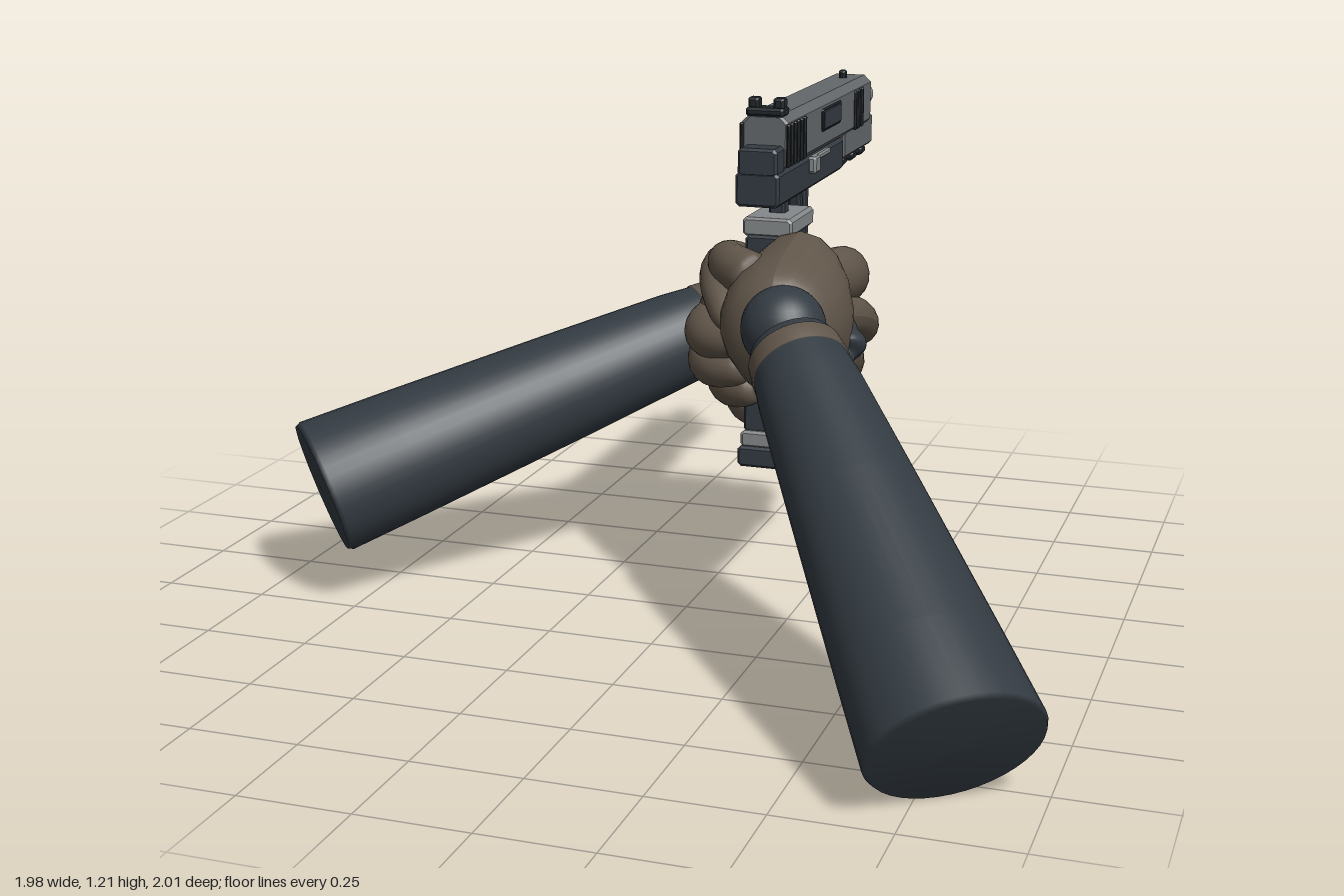
import * as THREE from 'three';

const material = (name, color) => {
  const m = new THREE.MeshStandardMaterial({ color });
  m.name = name;
  return m;
};
const V = (a) => new THREE.Vector3(...a);

export function createModel() {
  const model = new THREE.Group();
  const slate = material('slate sleeve', 0x333b42);
  const brown = material('brown glove', 0x605549);
  const steel = material('grey steel', 0x64686b);
  const frame = material('dark frame', 0x333a42);
  const black = material('near black', 0x22272b);
  const bright = material('light steel', 0x85888a);

  const add = (parent, name, geo, mat) => {
    const mesh = new THREE.Mesh(geo, mat);
    mesh.name = name;
    parent.add(mesh);
    return mesh;
  };

  // Block with chamfered long edges, given by y and z ranges, centred on x
  const block = (parent, name, mat, x, w, y0, y1, z0, z1, c = 0.008) => {
    const a = w / 2, h = (y1 - y0) / 2;
    const s = new THREE.Shape([
      [-a + c, -h], [a - c, -h], [a, -h + c], [a, h - c],
      [a - c, h], [-a + c, h], [-a, h - c], [-a, -h + c],
    ].map((p) => new THREE.Vector2(...p)));
    const depth = Math.abs(z1 - z0);
    const bevel = Math.min(0.006, depth / 4);
    const g = new THREE.ExtrudeGeometry(s, {
      depth: depth - 2 * bevel, bevelEnabled: true, bevelThickness: bevel,
      bevelSize: bevel, bevelOffset: -bevel, bevelSegments: 1,
    });
    g.translate(x, (y0 + y1) / 2, Math.min(z0, z1) + bevel);
    return add(parent, name, g, mat);
  };

  // Smooth tapered limb: rings [x, y, z, radiusX, radiusY] along a curve
  const limb = (parent, name, mat, rings, cap = 0.12) => {
    const path = new THREE.CatmullRomCurve3(rings.map((r) => V(r.slice(0, 3))));
    const size = new THREE.CatmullRomCurve3(rings.map((r) => new THREE.Vector3(r[3], r[4] ?? r[3], 0)));
    const segs = 28, sides = 18;
    const g = new THREE.TubeGeometry(path, segs, 1, sides);
    const p = g.attributes.position;
    for (let i = 0; i <= segs; i++) {
      const u = i / segs, c = path.getPointAt(u);
      const r = size.getPoint(path.getUtoTmapping(u));
      const k = Math.min(1, Math.min(u, 1 - u) / cap);
      const round = Math.sqrt(1 - (1 - k) ** 2);
      for (let j = 0; j <= sides; j++) {
        const n = i * (sides + 1) + j;
        p.setXYZ(n,
          c.x + (p.getX(n) - c.x) * r.x * round,
          c.y + (p.getY(n) - c.y) * r.y * round,
          c.z + (p.getZ(n) - c.z) * r.x * round);
      }
    }
    g.computeVertexNormals();
    return add(parent, name, g, mat);
  };

  // Sleeve that widens sideways to the elbow, with glove band and round wrist
  const arm = (name, band, end, wrist, bandStart, bandSweep) => {
    const g = new THREE.Group();
    g.name = name;
    model.add(g);
    const axis = V(end).sub(V(band));
    const L = axis.length();
    axis.normalize();
    const side = new THREE.Vector3(0, 1, 0).cross(axis).normalize();
    const basis = new THREE.Matrix4().makeBasis(side, axis, side.clone().cross(axis));
    const lathe = (part, mat, pts, start, sweep) => {
      const geo = new THREE.LatheGeometry(pts.map((p) => new THREE.Vector2(...p)), 40, start, sweep);
      const p = geo.attributes.position;
      for (let i = 0; i < p.count; i++) p.setX(i, p.getX(i) * (1 + 0.16 * Math.max(0, p.getY(i) / L)));
      const m = add(g, part, geo, mat);
      m.position.set(...band);
      m.quaternion.setFromRotationMatrix(basis);
    };
    lathe('sleeve', slate, [[0, -0.06], [0.08, -0.06], [0.098, -0.045], [0.106, 0],
      [0.117, 0.1], [0.135, L * 0.4], [0.155, L * 0.8], [0.163, L - 0.012], [0.157, L], [0, L + 0.003]],
      0, Math.PI * 2);
    lathe('gloveBand', brown, [[0.1, -0.024], [0.107, -0.024], [0.112, 0.024], [0.105, 0.024]], bandStart, bandSweep);
    const ball = add(g, 'wrist', new THREE.SphereGeometry(0.096, 32, 20), slate);
    ball.position.set(...wrist);
  };
  arm('leftArm', [0.32, 0.675, 0.18], [0.84, 0.14, 0.885], [0.265, 0.735, 0.11], 0, Math.PI * 2);
  arm('rightArm', [-0.08, 0.59, -0.455], [-0.87, 0.265, 0.165], [0.025, 0.63, -0.53], 2.5, 4.1);

  // Near hand: palm on the +x side, fingers reaching forward and curling inward
  const near = new THREE.Group();
  near.name = 'leftHand';
  model.add(near);
  limb(near, 'palm', brown, [
    [0.24, 0.72, 0.14, 0.09, 0.1], [0.23, 0.72, 0.02, 0.14, 0.155], [0.23, 0.695, -0.12, 0.136, 0.213],
    [0.21, 0.665, -0.29, 0.085, 0.165], [0.22, 0.69, -0.47, 0.08, 0.1]], 0.1);
  limb(near, 'indexFinger', brown, [
    [0.23, 0.76, -0.2, 0.05, 0.06], [0.265, 0.755, -0.38, 0.06, 0.07],
    [0.23, 0.72, -0.52, 0.06, 0.065], [0.15, 0.7, -0.57, 0.05]]);
  [
    [[0.24, 0.7, -0.18], [0.285, 0.65, -0.4], [0.255, 0.575, -0.59], [0.155, 0.54, -0.67]],
    [[0.24, 0.62, -0.15], [0.28, 0.57, -0.33], [0.23, 0.49, -0.5], [0.11, 0.455, -0.575]],
    [[0.24, 0.56, -0.13], [0.25, 0.515, -0.25], [0.2, 0.45, -0.37], [0.1, 0.425, -0.42]],
  ].forEach((pts) => limb(near, 'finger', brown,
    pts.map((p, i) => [...p, [0.05, 0.052, 0.046, 0.03][i]])));
  limb(near, 'thumb', brown, [
    [0.18, 0.81, 0.0, 0.06], [0.08, 0.83, -0.08, 0.05], [0.05, 0.81, -0.22, 0.045], [0.07, 0.78, -0.32, 0.03]]);
  // Dark crescent pad on the back of the hand
  limb(near, 'handPad', slate, [
    [0.34, 0.603, -0.045, 0.018], [0.343, 0.632, -0.1, 0.034],
    [0.34, 0.682, -0.128, 0.034], [0.335, 0.73, -0.14, 0.022]], 0.3);

  // Far hand: palm on the -x side, fingers curled back around the grip
  const far = new THREE.Group();
  far.name = 'rightHand';
  model.add(far);
  limb(far, 'palm', brown, [
    [0.05, 0.65, -0.59, 0.08, 0.09], [0.06, 0.66, -0.46, 0.125, 0.14],
    [0.05, 0.64, -0.32, 0.12, 0.165], [0.06, 0.61, -0.14, 0.09, 0.13]], 0.14);
  limb(far, 'palmFront', brown, [
    [0.06, 0.7, -0.5, 0.08], [0.15, 0.71, -0.5, 0.08], [0.22, 0.72, -0.47, 0.065]], 0.25);
  [
    [0.67, 0, -0.02], [0.6, 0.005, -0.03], [0.535, 0.03, -0.1], [0.48, 0.06, -0.15],
  ].forEach(([y, x, z]) => limb(far, 'finger', brown, [
    [x, y, -0.34, 0.045], [x - 0.005, y - 0.015, z - 0.15, 0.052],
    [x + 0.05, y - 0.015, z - 0.03, 0.046], [0.15, y, z, 0.038]]));
  limb(far, 'thumb', brown, [
    [0.03, 0.75, -0.35, 0.05], [0.02, 0.79, -0.22, 0.05], [0.06, 0.77, -0.06, 0.042], [0.12, 0.71, 0.05, 0.03]]);

  // Pistol
  const gun = new THREE.Group();
  gun.name = 'pistol';
  model.add(gun);
  const X = 0.15;
  block(gun, 'slide', steel, X, 0.11, 1.045, 1.175, -0.115, -0.89, 0.018);
  block(gun, 'slideRear', frame, X, 0.094, 1.04, 1.105, -0.055, -0.12);
  block(gun, 'frameBody', frame, X, 0.104, 0.97, 1.05, -0.055, -0.63);
  block(gun, 'dustCover', steel, X, 0.092, 0.988, 1.07, -0.66, -0.945);
  [-0.715, -0.81, -0.9].forEach((z) => block(gun, 'railLug', black, X, 0.07, 0.964, 0.99, z + 0.021, z - 0.021));
  [[0.027, -0.85, -0.96], [0.033, -0.95, -1]].forEach(([r, z0, z1]) => {
    const g = new THREE.CylinderGeometry(r, r, z0 - z1, 24);
    g.rotateX(Math.PI / 2).translate(X, 1.11, (z0 + z1) / 2);
    add(gun, 'barrel', g, bright);
  });
  const bore = add(gun, 'bore', new THREE.CircleGeometry(0.02, 20), black);
  bore.position.set(X, 1.11, -1.0005);
  bore.rotation.y = Math.PI;

  // Sights
  block(gun, 'rearSightBase', black, X, 0.09, 1.17, 1.19, -0.11, -0.165, 0.004);
  [-1, 1].forEach((s) => block(gun, 'rearSightPost', black, X + s * 0.03, 0.026, 1.185, 1.212, -0.12, -0.155, 0.004));
  block(gun, 'frontSight', black, X, 0.018, 1.17, 1.195, -0.795, -0.82, 0.004);

  // Side details, mirrored
  [-1, 1].forEach((s) => {
    const x = X + s * 0.056;
    for (let i = 0; i < 6; i++) block(gun, 'rearSerration', black, x, 0.009, 1.055, 1.155, -0.112 - i * 0.027, -0.126 - i * 0.027, 0.003);
    for (let i = 0; i < 3; i++) block(gun, 'frontSerration', black, x, 0.009, 1.055, 1.155, -0.715 - i * 0.034, -0.729 - i * 0.034, 0.003);
    block(gun, 'slideStop', bright, X + s * 0.055, 0.016, 1.035, 1.05, -0.34, -0.47, 0.004);
    block(gun, 'slideCatch', bright, X + s * 0.058, 0.022, 1.01, 1.05, -0.31, -0.355, 0.004);
  });
  block(gun, 'portRim', black, X + 0.055, 0.008, 1.095, 1.15, -0.405, -0.58, 0.003);
  block(gun, 'ejectionPort', frame, X + 0.058, 0.006, 1.1, 1.145, -0.41, -0.575, 0.002);

  // Trigger, guard and grip
  const trigger = block(gun, 'trigger', frame, 0, 0.03, -0.05, 0.05, -0.015, 0.015, 0.005);
  trigger.position.set(X, 0.93, -0.378);
  trigger.rotation.x = 0.2;
  block(gun, 'guardPost', frame, X, 0.034, 0.82, 0.975, -0.405, -0.438);
  block(gun, 'guardBase', frame, X, 0.044, 0.81, 0.835, -0.3, -0.45);
  block(gun, 'gripPost', frame, X, 0.04, 0.92, 0.98, -0.215, -0.255);
  block(gun, 'gripCap', bright, X, 0.12, 0.885, 0.93, -0.14, -0.33);
  block(gun, 'gripNeck', frame, X, 0.1, 0.83, 0.89, -0.13, -0.3);
  block(gun, 'grip', frame, X, 0.09, 0.42, 0.84, -0.11, -0.28);
  block(gun, 'magazineCollar', bright, X, 0.1, 0.385, 0.425, -0.1, -0.29);
  block(gun, 'magazineBase', frame, X, 0.112, 0.338, 0.388, -0.095, -0.305);

  return model;
}
